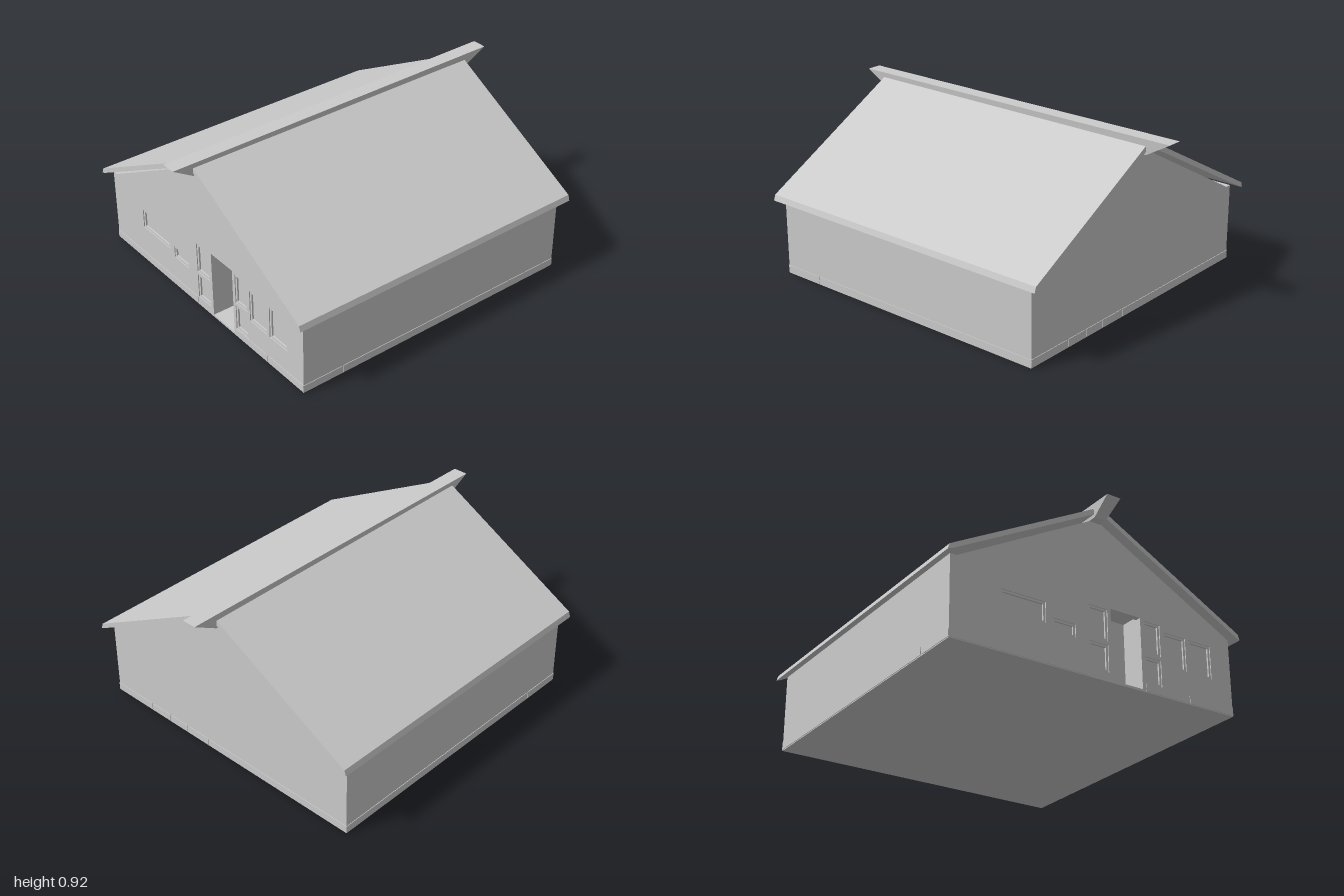
import * as THREE from 'three';

const material = new THREE.MeshStandardMaterial({ color: 0xcccccc, flatShading: true });
const X0 = -0.84, X1 = 0.81, Z = 0.825, TOP = 0.41, T = 0.03;

export function createModel() {
  const house = new THREE.Group();
  house.name = 'house';

  const add = (name, geometry) => {
    const mesh = new THREE.Mesh(geometry, material);
    mesh.name = name;
    house.add(mesh);
    return mesh;
  };

  // Box given by its limits on each axis
  const block = (name, x0, x1, y0, y1, z0, z1) => {
    const g = new THREE.BoxGeometry(x1 - x0, y1 - y0, z1 - z0);
    return add(name, g.translate((x0 + x1) / 2, (y0 + y1) / 2, (z0 + z1) / 2));
  };

  const outline = (points) => new THREE.Shape(points.map(([z, y]) => new THREE.Vector2(z, y)));

  // Profile in (z, y) extruded along x
  const prism = (name, shape, x0, x1) => {
    const g = new THREE.ExtrudeGeometry(shape, { depth: x1 - x0, bevelEnabled: false });
    return add(name, g.rotateY(-Math.PI / 2).translate(x1, 0, 0));
  };

  const rect = (z0, z1, y0, y1) => [[z0, y0], [z1, y0], [z1, y1], [z0, y1]];

  // Floor, ceiling and plain walls
  block('floor', X0, X1, 0, 0.012, -Z, Z);
  block('ceiling', X0, X1, 0.405, 0.42, -Z, Z);
  block('frontWall', X0, X1, 0.012, TOP, Z - T, Z);
  block('backWall', X0, X1, 0.012, TOP, -Z, T - Z);
  block('rightSideWall', X1 - T, X1, 0.012, TOP, T - Z, Z - T);

  // Entrance wall with window and door openings: z0, z1, y0, y1
  const windows = [
    [-0.55, -0.30, 0.21, 0.32],
    [-0.26, -0.13, 0.18, 0.25],
    [-0.05, 0.06, 0.05, 0.19],
    [-0.05, 0.06, 0.21, 0.38],
    [0.28, 0.38, 0.05, 0.19],
    [0.28, 0.38, 0.21, 0.38],
    [0.40, 0.54, 0.17, 0.35],
    [0.56, 0.70, 0.17, 0.35],
  ];
  const door = [0.08, 0.26, 0.012, 0.39];
  const entrance = outline(rect(T - Z, Z - T, 0.012, TOP));
  for (const w of windows) entrance.holes.push(new THREE.Path(outline(rect(...w)).getPoints()));
  const doorHole = rect(door[0], door[1], 0.0125, door[3]);
  entrance.holes.push(new THREE.Path(outline(doorHole).getPoints()));
  prism('entranceWall', entrance, X0, X0 + T);

  // Panes with thin frames
  for (const [z0, z1, y0, y1] of windows) {
    block('windowPane', X0 + 0.014, X0 + 0.02, y0, y1, z0, z1);
    const frame = outline(rect(z0, z1, y0, y1));
    const inner = rect(z0 + 0.012, z1 - 0.012, y0 + 0.012, y1 - 0.012);
    frame.holes.push(new THREE.Path(outline(inner).getPoints()));
    prism('windowFrame', frame, X0 + 0.005, X0 + 0.014);
  }

  // Recessed porch and its door
  const inside = X0 + 0.13;
  block('porchBack', inside, inside + 0.02, 0.012, 0.405, door[0] - 0.02, door[1] + 0.02);
  block('porchSide', X0 + T, inside, 0.012, 0.405, door[0] - 0.02, door[0]);
  block('porchSide', X0 + T, inside, 0.012, 0.405, door[1], door[1] + 0.02);
  block('door', inside - 0.01, inside, 0.02, 0.37, door[0] + 0.02, door[1] - 0.02);

  // Plinth strips with narrow gaps
  const P = 0.003;
  for (const [a, b] of [[X0, -0.61], [-0.60, X1]]) {
    block('frontPlinth', a, b, 0.005, 0.045, Z, Z + P);
    block('backPlinth', a, b, 0.005, 0.045, -Z - P, -Z);
  }
  for (const [a, b] of [[-Z, 0.12], [0.13, 0.28], [0.29, 0.41], [0.42, 0.55], [0.56, Z]]) {
    block('rightSidePlinth', X1, X1 + P, 0.005, 0.045, a, b);
  }
  for (const [a, b] of [[-Z, -0.06], [0.28, 0.54], [0.55, Z]]) {
    block('entrancePlinth', X0 - P, X0, 0.005, 0.045, a, b);
  }

  // Gables
  const gable = [[-0.79, 0.42], [0.82, 0.42], [0.02, 0.85], [-0.02, 0.845]];
  prism('gable', outline(gable), X0, X0 + 0.01);
  prism('gable', outline(gable), X1 - 0.01, X1);

  // Roof slopes with a pointed lip along the eaves
  const slope = [[0.025, 0.89], [0.855, 0.44], [0.865, 0.41], [0.84, 0.42], [0.025, 0.86]];
  for (const side of [1, -1]) {
    const profile = outline(slope.map(([z, y]) => [z * side, y]));
    prism(side > 0 ? 'frontRoof' : 'backRoof', profile, -0.885, 0.86);
  }

  // Ridge beam: narrower below, ends raked outwards, top rising slightly
  const ridge = new THREE.BoxGeometry(2, 0.08, 0.08);
  const p = ridge.attributes.position;
  for (let i = 0; i < p.count; i++) {
    const right = p.getX(i) > 0, top = p.getY(i) > 0, front = p.getZ(i) > 0;
    const x = top ? (right ? 1 : -1) : (right ? 0.86 : -0.885);
    const y = top ? (right ? 0.92 : 0.91) : 0.838;
    p.setXYZ(i, x, y, (front ? 1 : -1) * (top ? 0.04 : 0.033));
  }
  ridge.computeVertexNormals();
  add('ridgeBeam', ridge);

  return house;
}
